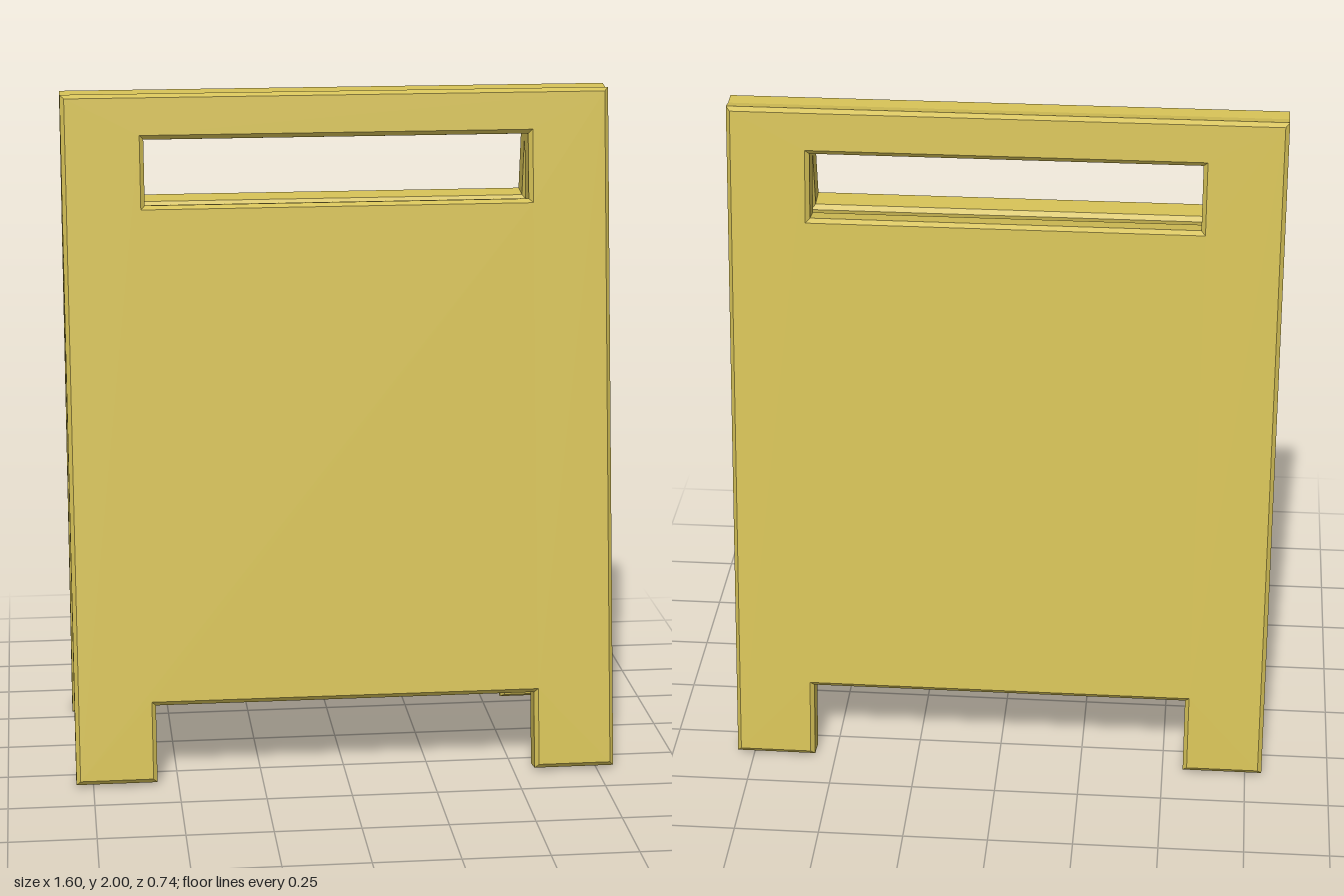
import * as THREE from 'three';

const TILT = THREE.MathUtils.degToRad(9.1); // lean of each board
const THICK = 0.087, BEVEL = 0.012;
const HALF_W = 0.8, LENGTH = 2.016;
const CUT_W = 0.562, CUT_H = 0.229; // gap between the feet
const SLOT_LOW = 1.694, SLOT_HIGH = 1.884; // hand slot

const points = (list) => list.map(([x, y]) => new THREE.Vector2(x, y));

// Board outline with two feet and a hand slot, outer face at z = 0
function boardGeometry() {
  const shape = new THREE.Shape(points([
    [-HALF_W, 0], [-CUT_W, 0], [-CUT_W, CUT_H], [CUT_W, CUT_H],
    [CUT_W, 0], [HALF_W, 0], [HALF_W, LENGTH], [-HALF_W, LENGTH],
  ]));
  shape.holes.push(new THREE.Path(points([
    [-CUT_W, SLOT_LOW], [-CUT_W, SLOT_HIGH], [CUT_W, SLOT_HIGH], [CUT_W, SLOT_LOW],
  ])));
  const geometry = new THREE.ExtrudeGeometry(shape, {
    depth: THICK - 2 * BEVEL,
    bevelEnabled: true,
    bevelSegments: 1,
    bevelSize: BEVEL,
    bevelThickness: BEVEL,
    bevelOffset: -BEVEL,
  });
  return geometry.translate(0, 0, BEVEL - THICK);
}

export function createModel() {
  const model = new THREE.Group();
  model.name = 'foldingFloorSign';
  const material = new THREE.MeshStandardMaterial({ color: 0xd2be55 });
  const geometry = boardGeometry();

  // Two identical boards lean together and cross at the top
  for (const [name, turn] of [['frontBoard', 0], ['backBoard', Math.PI]]) {
    const board = new THREE.Mesh(geometry, material);
    board.name = name;
    board.position.set(0, (THICK - BEVEL) * Math.sin(TILT), 0.372);
    board.rotation.x = -TILT;
    const side = new THREE.Group();
    side.name = name + 'Side';
    side.rotation.y = turn;
    side.add(board);
    model.add(side);
  }
  return model;
}
